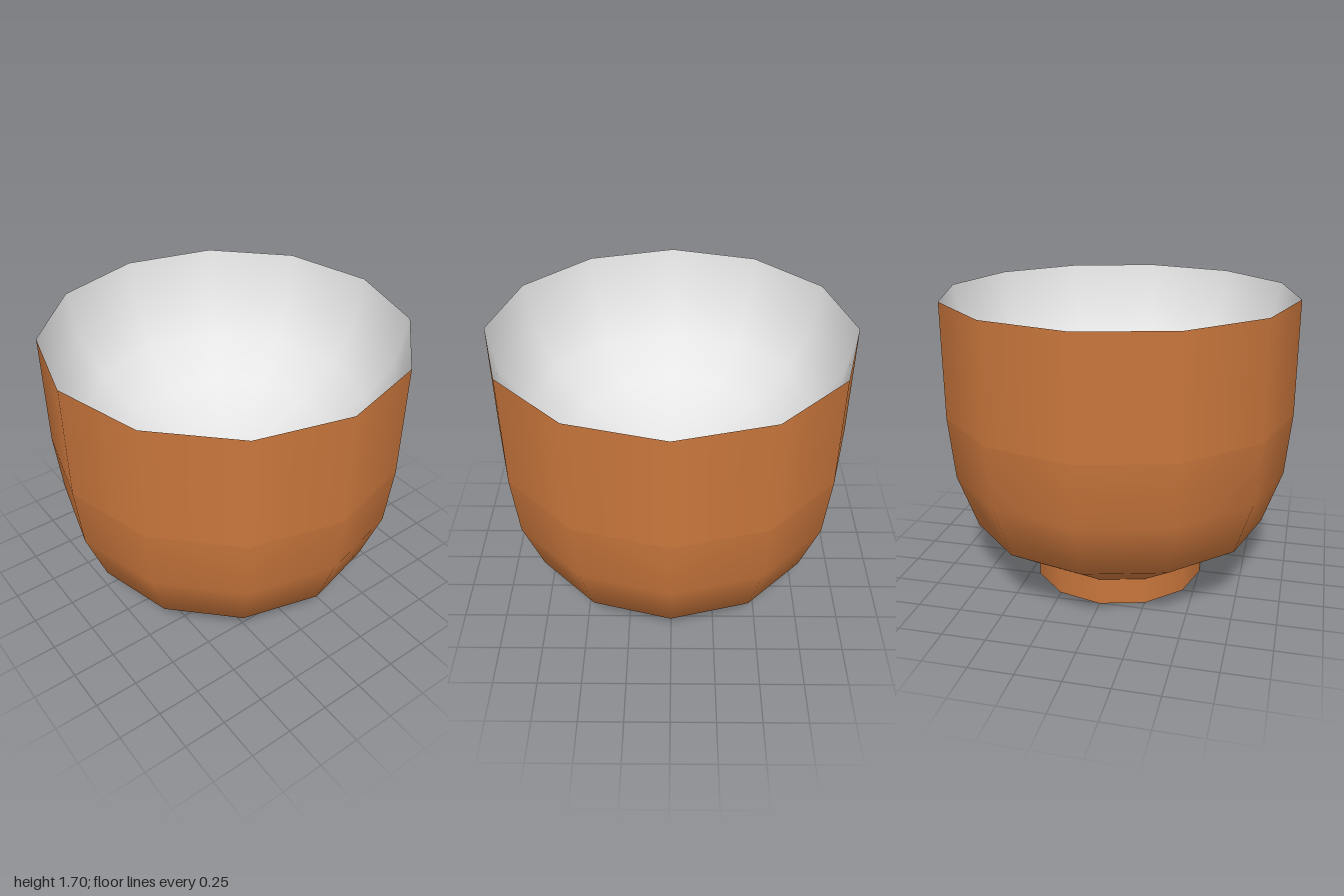
import * as THREE from 'three';

const SIDES = 12;

export function createModel() {
  const group = new THREE.Group();
  const clay = new THREE.MeshStandardMaterial({ color: 0xc9763c });
  clay.name = 'brown clay';
  const glaze = new THREE.MeshStandardMaterial({ color: 0xe6e6e6 });
  glaze.name = 'pale glaze';

  // Turn a radius/height profile; bottom-to-top faces outward
  const turn = (name, profile, material) => {
    const points = profile.map(([r, y]) => new THREE.Vector2(r, y));
    const mesh = new THREE.Mesh(new THREE.LatheGeometry(points, SIDES), material);
    mesh.name = name;
    group.add(mesh);
  };

  // Straight upper wall and rounded lower body
  turn('upperWall', [[1, 1.05], [1, 1.7]], clay);
  turn('lowerBody', [[0.505, 0.155], [0.857, 0.382], [0.967, 0.695], [1, 1.05]], clay);

  // Foot ring, closed underneath
  const foot = new THREE.Mesh(new THREE.CylinderGeometry(0.505, 0.505, 0.155, SIDES), clay);
  foot.name = 'foot';
  foot.position.y = 0.0775;
  group.add(foot);

  // Shallow round inner bowl running from the sharp rim down to the centre, facing inward
  const bowl = [];
  const rings = 5;
  const depth = 0.85;
  for (let i = 0; i <= rings; i++) {
    const a = (i / rings) * Math.PI / 2;
    bowl.push([i === rings ? 0 : Math.cos(a), 1.7 - depth * Math.sin(a)]);
  }
  turn('innerBowl', bowl, glaze);

  return group;
}
